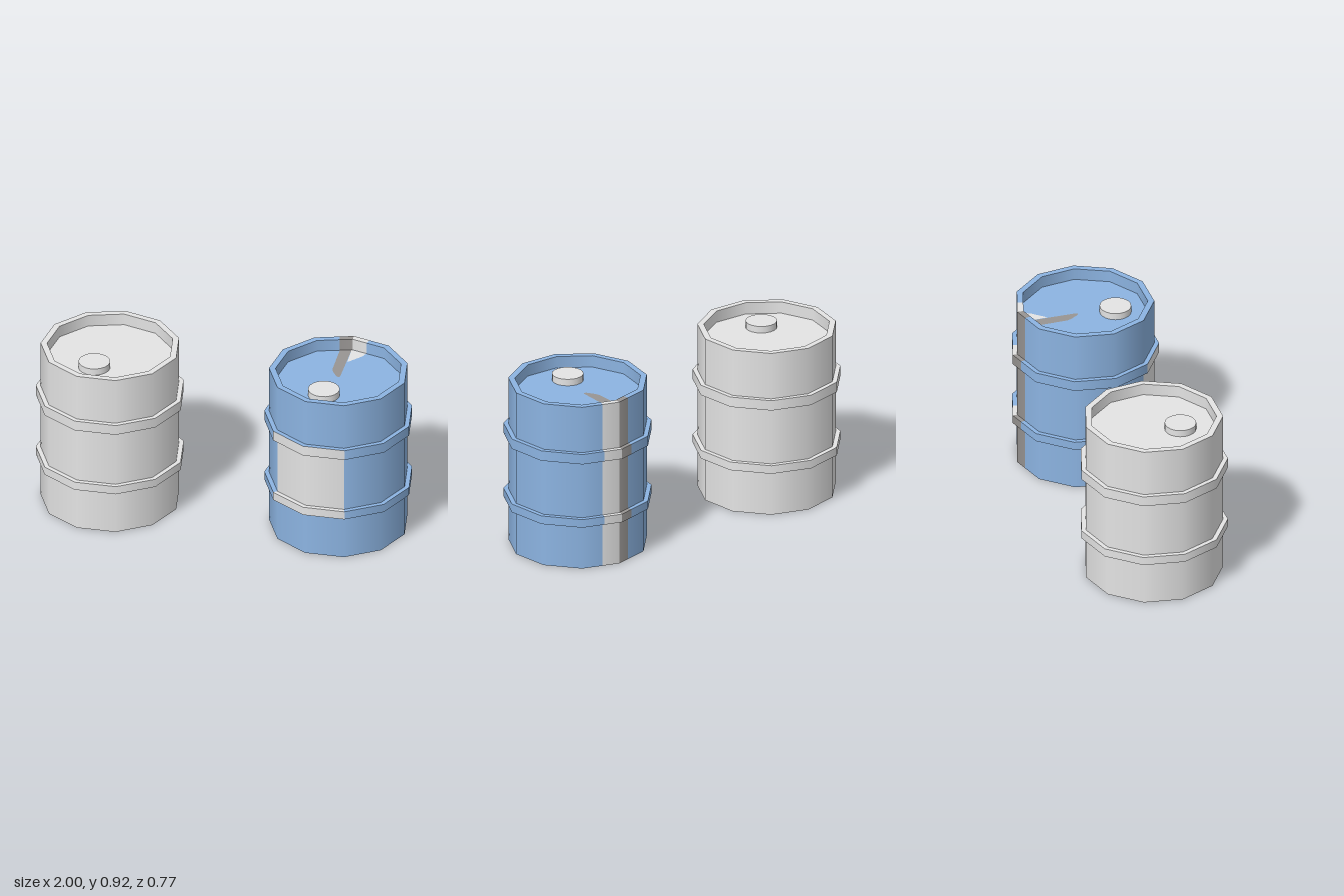
import * as THREE from 'three';

const SIDES = 11;
const LID_Y = 0.853, BASE_Y = 0.035;

// Half section of the drum (radius, height), from base centre to lid centre
const PROFILE = [
  [0, BASE_Y], [0.333, BASE_Y], [0.333, 0], [0.367, 0],
  [0.367, 0.243], [0.392, 0.243], [0.392, 0.289], [0.367, 0.289],
  [0.367, 0.603], [0.392, 0.603], [0.392, 0.659], [0.367, 0.659],
  [0.367, 0.917], [0.333, 0.917], [0.333, LID_Y], [0, LID_Y],
];

// Unit polygon point at corner number t; fractions lie on the straight edge
function polygonPoint(t) {
  const corner = (k) => {
    const a = Math.PI + (k * 2 * Math.PI) / SIDES;
    return new THREE.Vector2(Math.sin(a), Math.cos(a));
  };
  const k = Math.floor(t);
  return corner(k).lerp(corner(k + 1), t - k);
}

// Sweeps the profile round the polygon; colourOf(t, segment) picks a material index
function drumGeometry(stations, colourOf) {
  const pos = [], nor = [], buckets = [[], [], []];
  for (let s = 0; s < stations.length - 1; s++) {
    const ends = [polygonPoint(stations[s]), polygonPoint(stations[s + 1])];
    const mid = (stations[s] + stations[s + 1]) / 2;
    for (let p = 0; p < PROFILE.length - 1; p++) {
      const a = PROFILE[p], b = PROFILE[p + 1];
      const len = Math.hypot(b[0] - a[0], b[1] - a[1]);
      const nr = (b[1] - a[1]) / len, ny = (a[0] - b[0]) / len;
      const base = pos.length / 3;
      for (const [d, q] of [[ends[0], a], [ends[1], a], [ends[1], b], [ends[0], b]]) {
        const u = d.clone().normalize();
        pos.push(d.x * q[0], q[1], d.y * q[0]);
        nor.push(u.x * nr, ny, u.y * nr);
      }
      const bucket = buckets[colourOf(mid, p)];
      if (a[0] > 0) bucket.push(base, base + 1, base + 2);
      if (b[0] > 0) bucket.push(base, base + 2, base + 3);
    }
  }
  const geo = new THREE.BufferGeometry();
  geo.setAttribute('position', new THREE.Float32BufferAttribute(pos, 3));
  geo.setAttribute('normal', new THREE.Float32BufferAttribute(nor, 3));
  geo.setIndex(buckets.flat());
  let start = 0;
  buckets.forEach((b, i) => {
    if (b.length) geo.addGroup(start, b.length, i);
    start += b.length;
  });
  return geo;
}

export function createModel() {
  const material = (name, color) => {
    const m = new THREE.MeshStandardMaterial({ color });
    m.name = name;
    return m;
  };
  const blue = material('blue paint', 0x8cb4e2);
  const grey = material('light grey', 0xe4e4e4);
  const dark = material('dark grey', 0x989593);
  const model = new THREE.Group();
  model.name = 'drums';

  function addMesh(parent, name, geo, mat) {
    const mesh = new THREE.Mesh(geo, mat);
    mesh.name = name;
    parent.add(mesh);
    return mesh;
  }

  function addDrum(name, x, stations, mats, colourOf, capX, capZ) {
    const drum = new THREE.Group();
    drum.name = name;
    drum.position.set(x, 0, 0.008);
    addMesh(drum, 'drumShell', drumGeometry(stations, colourOf), mats);
    const cap = addMesh(drum, 'fillerCap', new THREE.CylinderGeometry(0.083, 0.083, 0.037, 20), grey);
    cap.position.set(capX, LID_Y + 0.0185, capZ);
    model.add(drum);
    return drum;
  }

  // Plain grey drum
  const corners = Array.from({ length: SIDES + 1 }, (_, i) => i);
  addDrum('greyDrum', -0.612, corners, [blue, grey, dark], () => 1, -0.058, 0.132);

  // Blue drum with a front label panel and a two-tone stripe down the back corner
  const stations = [...corners, 0.36, 10.55].sort((a, b) => a - b);
  const blueDrum = addDrum('blueDrum', 0.612, stations, [blue, grey, dark], (t, p) => {
    if (t > 4 && t < 6 && p >= 5 && p <= 9) return 1;
    if (p >= 1 && p <= 13) {
      if (t < 0.36) return 2;
      if (t > 10.55) return 1;
    }
    return 0;
  }, -0.047, 0.157);

  // Stripe ends running on to the lid and the base, as (x, z) outlines
  const spills = [
    ['darkStripeEnd', dark, [[-0.004, -0.331], [-0.004, -0.045], [-0.012, -0.037], [-0.024, -0.045],
      [-0.05, -0.085], [-0.06, -0.11], [-0.064, -0.314]]],
    ['lightStripeEnd', grey, [[-0.004, -0.331], [0.08, -0.309], [0.065, -0.275], [0, -0.2]]],
  ];
  for (const [name, mat, outline] of spills) {
    const onLid = new THREE.Shape(outline.map(([px, pz]) => new THREE.Vector2(px, -pz)));
    addMesh(blueDrum, name, new THREE.ShapeGeometry(onLid).rotateX(-Math.PI / 2), mat).position.y = LID_Y + 0.001;
    const onBase = new THREE.Shape(outline.map(([px, pz]) => new THREE.Vector2(px, pz)));
    addMesh(blueDrum, name, new THREE.ShapeGeometry(onBase).rotateX(Math.PI / 2), mat).position.y = BASE_Y - 0.001;
  }
  return model;
}
